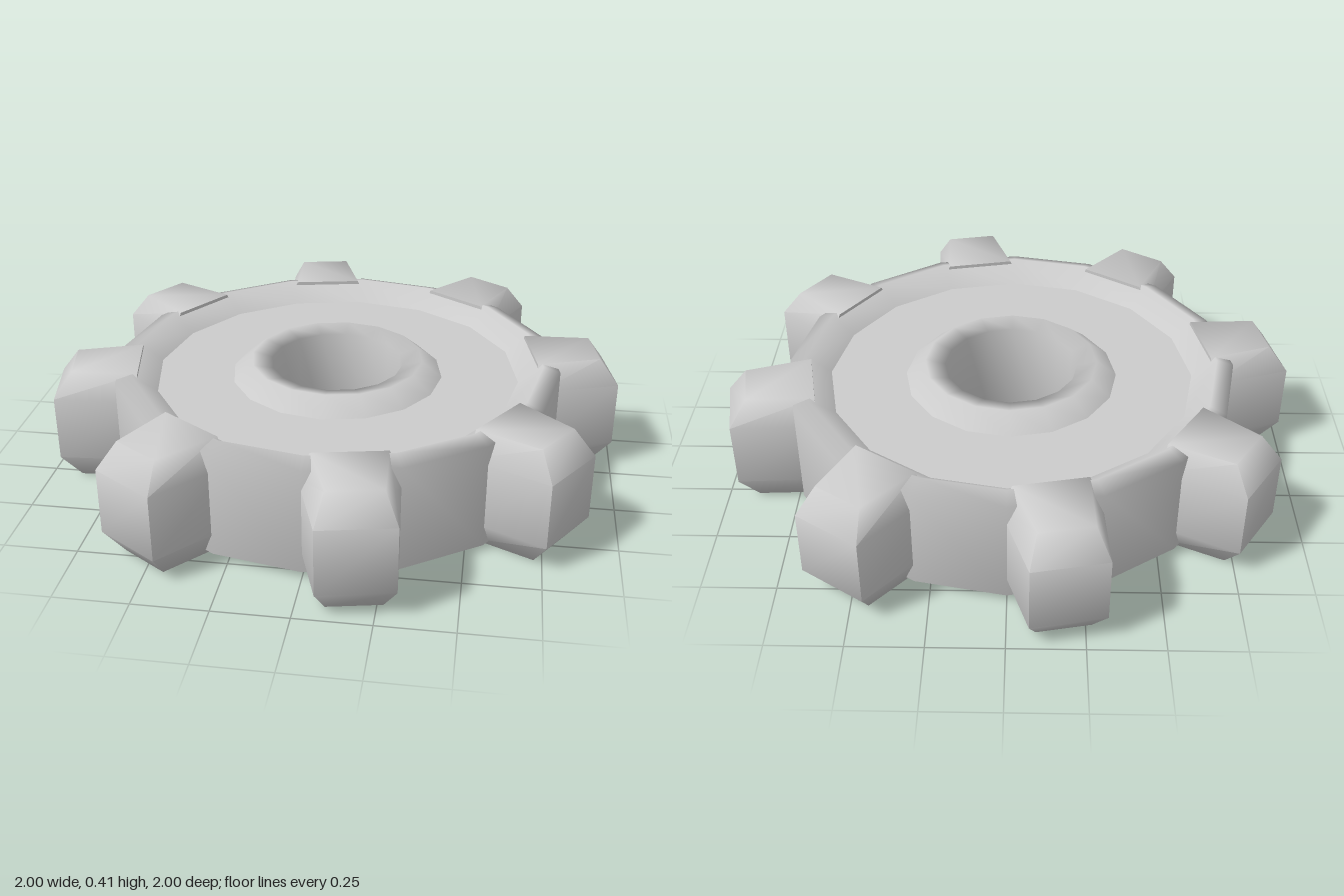
import * as THREE from 'three';
import { toCreasedNormals } from 'three/addons/utils/BufferGeometryUtils.js';

const SIDES = 16;
const TEETH = 8;
const HEIGHT = 0.41;

const material = new THREE.MeshStandardMaterial({ color: 0xcccccc });

function mesh(name, geometry) {
  const m = new THREE.Mesh(geometry, material);
  m.name = name;
  return m;
}

function lathe(name, points) {
  const profile = points.map(([r, y]) => new THREE.Vector2(r, y));
  return mesh(name, new THREE.LatheGeometry(profile, SIDES));
}

// Tapered block along +z whose tip and flanks are chamfered towards top and bottom
function toothGeometry() {
  const base = { z: 0.7, w: 0.163 };
  const tip = { z: 0.995, w: 0.125 };
  const levels = [[0, 1], [0.09, 0], [0.32, 0], [HEIGHT, 1]];
  const positions = [];
  for (const [y, inset] of levels) {
    const wb = base.w - 0.04 * inset;
    const wt = tip.w - 0.035 * inset;
    const zt = tip.z - 0.065 * inset;
    positions.push(-wb, y, base.z, -wt, y, zt, wt, y, zt, wb, y, base.z);
  }
  const index = [];
  for (let level = 0; level < 3; level++) {
    for (let side = 0; side < 4; side++) {
      const a = level * 4 + side;
      const b = level * 4 + ((side + 1) % 4);
      index.push(a, b, b + 4, a, b + 4, a + 4);
    }
  }
  index.push(12, 13, 14, 12, 14, 15, 0, 2, 1, 0, 3, 2);
  const geometry = new THREE.BufferGeometry();
  geometry.setAttribute('position', new THREE.Float32BufferAttribute(positions, 3));
  geometry.setIndex(index);
  return toCreasedNormals(geometry, THREE.MathUtils.degToRad(70));
}

export function createModel() {
  const gear = new THREE.Group();
  gear.name = 'gear';

  // Outer rim, sloping inwards to the web on both faces
  gear.add(lathe('rim', [
    [0.645, 0.065], [0.73, 0], [0.79, 0.02],
    [0.79, 0.39], [0.73, HEIGHT], [0.645, 0.345],
  ]));

  // Raised hub around the shaft hole
  gear.add(lathe('hub', [
    [0.375, 0.345], [0.305, 0.402], [0.235, 0.385],
    [0.235, 0.025], [0.305, 0.008], [0.375, 0.065],
  ]));

  // Flat recessed web on the top and bottom
  for (const [name, y, turn] of [['webTop', 0.345, -1], ['webBottom', 0.065, 1]]) {
    const web = mesh(name, new THREE.RingGeometry(0.37, 0.648, SIDES));
    web.rotation.x = turn * Math.PI / 2;
    web.position.y = y;
    gear.add(web);
  }

  // Teeth on every second side of the rim
  const toothShape = toothGeometry();
  const teeth = new THREE.Group();
  teeth.name = 'teeth';
  for (let i = 0; i < TEETH; i++) {
    const tooth = mesh('tooth', toothShape);
    tooth.rotation.y = Math.PI / SIDES + (i / TEETH) * Math.PI * 2;
    teeth.add(tooth);
  }
  gear.add(teeth);

  return gear;
}
